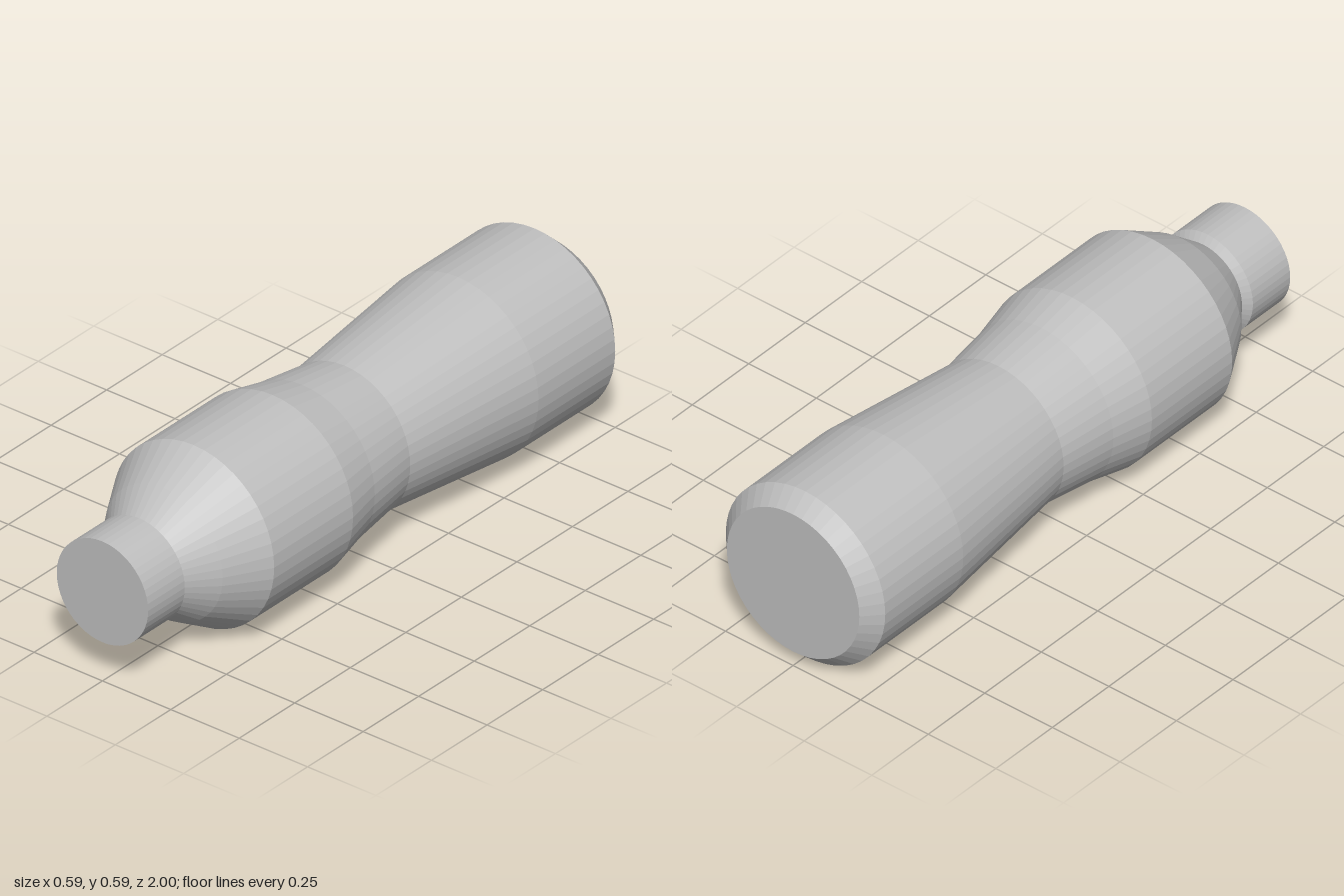
import * as THREE from 'three';

const SIDES = 48;
const AXIS_HEIGHT = 0.296;

// Faceted solid of revolution along z, from [z, radius] pairs running back to front
function turned(name, profile, material) {
  const points = profile.map(([z, r]) => new THREE.Vector2(r, z));
  const lathe = new THREE.LatheGeometry(points, SIDES);
  lathe.rotateX(Math.PI / 2);
  const geometry = lathe.toNonIndexed();
  geometry.computeVertexNormals();
  const mesh = new THREE.Mesh(geometry, material);
  mesh.name = name;
  mesh.position.y = AXIS_HEIGHT;
  return mesh;
}

export function createModel() {
  const grey = new THREE.MeshStandardMaterial({ color: 0xbfbfbf });
  grey.name = 'plain grey';

  const model = new THREE.Group();
  model.name = 'turnedHandle';

  // Chamfered flat butt
  model.add(turned('butt', [[-1, 0], [-1, 0.245], [-0.945, 0.295]], grey));

  // Grip with a pinched waist and a tapering shoulder
  model.add(turned('grip', [
    [-0.945, 0.295], [-0.6, 0.295], [-0.09, 0.24], [0.1, 0.265],
    [0.235, 0.295], [0.59, 0.295], [0.725, 0.216], [0.815, 0.143],
  ], grey));

  // Short stub with a bevelled inner edge
  model.add(turned('stub', [[0.815, 0.143], [0.835, 0.167], [1, 0.167], [1, 0]], grey));

  return model;
}
